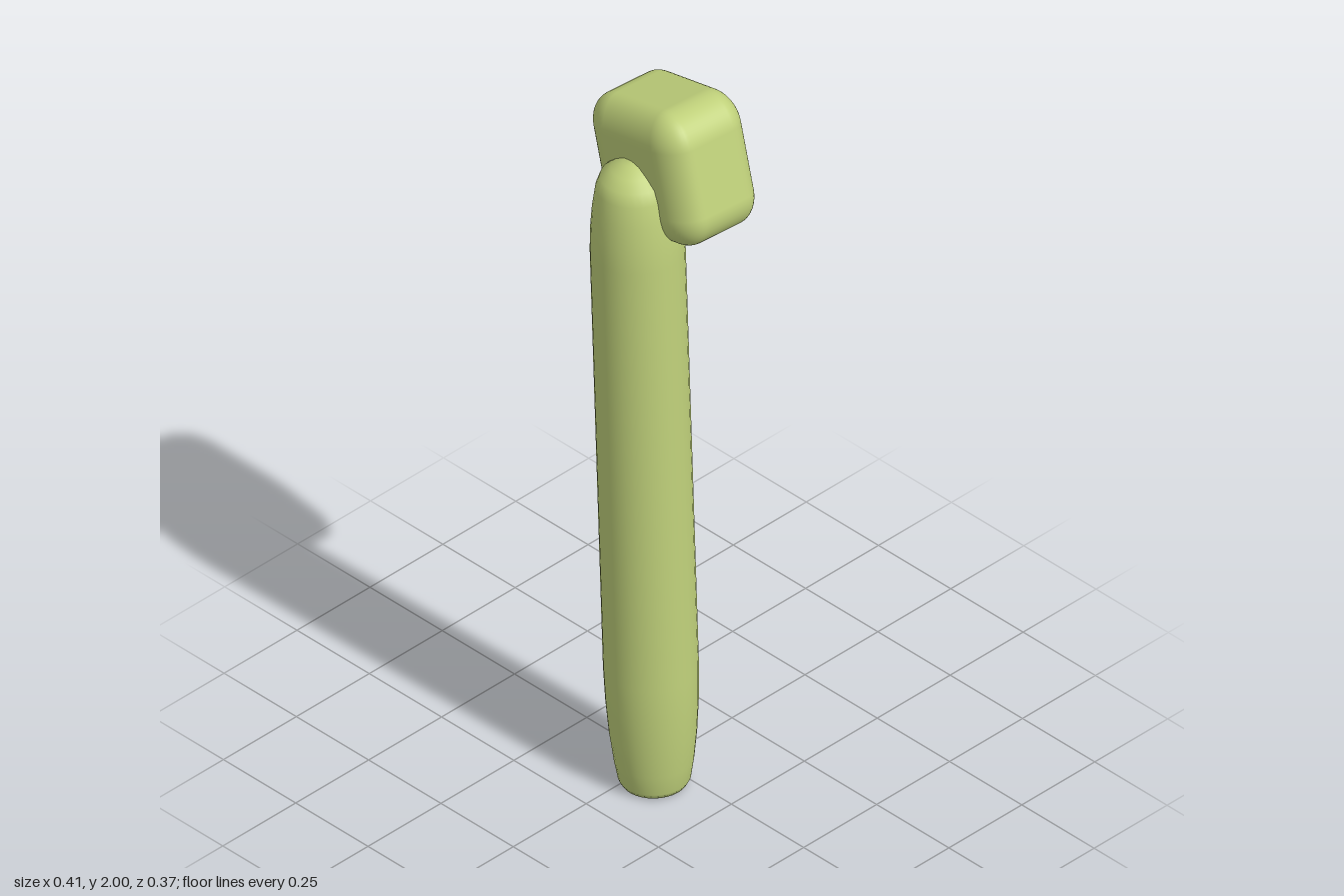
import * as THREE from 'three';
import { RoundedBoxGeometry } from 'three/addons/geometries/RoundedBoxGeometry.js';

export function createModel() {
  const group = new THREE.Group();
  const material = new THREE.MeshStandardMaterial({ color: 0xbfd07a });

  // Handle: round shaft, tapered at both ends, flat foot and shallow domed top
  const profile = [
    [0, 0], [0.082, 0], [0.09, 0.015], [0.099, 0.07], [0.108, 0.15], [0.114, 0.24], [0.117, 0.34],
    [0.117, 1.58], [0.114, 1.65], [0.108, 1.71], [0.099, 1.765], [0.087, 1.798],
    [0.06, 1.82], [0.03, 1.838], [0, 1.845],
  ].map(([r, y]) => new THREE.Vector2(r, y));
  const handle = new THREE.Mesh(new THREE.LatheGeometry(profile, 32), material);
  handle.name = 'handle';
  handle.position.set(0.049, 0.003, 0.064);
  handle.rotation.z = 0.037;
  group.add(handle);

  // Head: soft-cornered cube, flattened front to back and tilted
  const head = new THREE.Mesh(new RoundedBoxGeometry(0.364, 0.364, 0.364, 6, 0.09), material);
  head.name = 'head';
  head.scale.z = 0.695;
  head.position.set(0, 1.801, -0.05);
  head.rotation.set(0, -0.085, 0.265, 'YXZ');
  group.add(head);

  return group;
}
